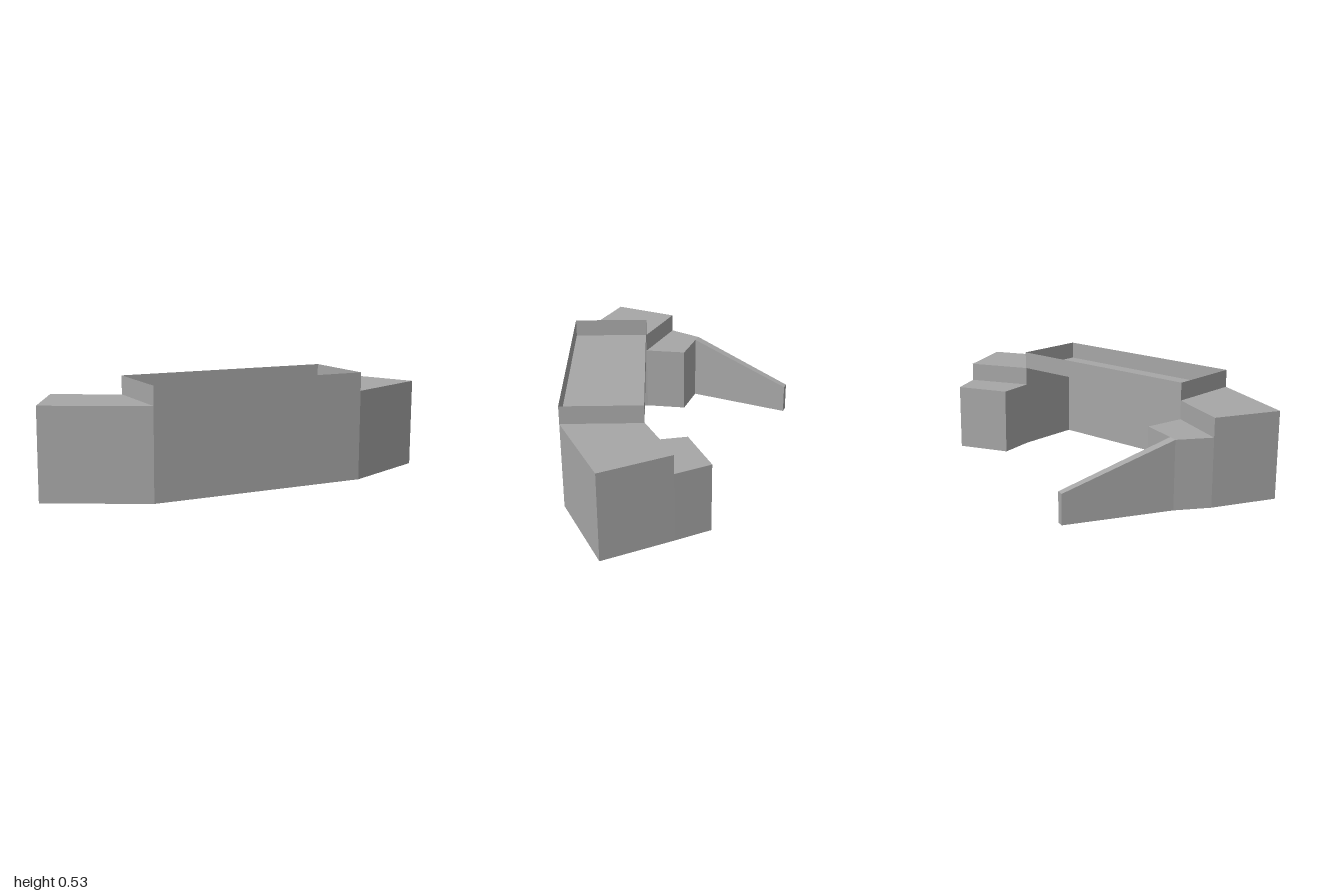
import * as THREE from 'three';

const HIGH = 0.44, LOW = 0.345, TOP = 0.53;

export function createModel() {
  const group = new THREE.Group();
  const grey = new THREE.MeshStandardMaterial({ color: 0xa6a6a6, side: THREE.DoubleSide });
  grey.name = 'concreteGrey';

  const add = (name, geometry) => {
    const mesh = new THREE.Mesh(geometry, grey);
    mesh.name = name;
    group.add(mesh);
    return mesh;
  };

  // Upright block over a floor plan of [x, z] corners
  const prism = (plan, height) => {
    const shape = new THREE.Shape(plan.map(([x, z]) => new THREE.Vector2(x, -z)));
    const geometry = new THREE.ExtrudeGeometry(shape, { depth: height, bevelEnabled: false });
    return geometry.rotateX(-Math.PI / 2);
  };

  // Thin upright sheet between two plan points
  const sheet = (name, [x0, z0], [x1, z1], y0, y1) => {
    const mesh = add(name, new THREE.PlaneGeometry(Math.hypot(x1 - x0, z1 - z0), y1 - y0));
    mesh.position.set((x0 + x1) / 2, (y0 + y1) / 2, (z0 + z1) / 2);
    mesh.rotation.y = -Math.atan2(z1 - z0, x1 - x0);
  };

  // Angled side blocks, each with a lower step behind
  add('leftBlock', prism([[0.545, 0.59], [1, 0.4], [0.85, 0.07], [0.54, 0.2]], HIGH));
  add('leftStep', prism([[0.54, 0.2], [0.85, 0.07], [0.77, -0.1], [0.505, 0]], LOW));
  add('rightBlock', prism([[-0.54, 0.59], [-0.54, 0.2], [-0.845, 0.05], [-1, 0.36]], HIGH));
  add('rightStep', prism([[-0.54, 0.2], [-0.505, -0.01], [-0.69, -0.08], [-0.735, -0.1], [-0.845, 0.05]], LOW));

  // Wing wall, its top sloping down towards the back
  const wing = prism([[-0.735, -0.1], [-0.69, -0.08], [-0.445, -0.575], [-0.48, -0.59]], LOW);
  const p = wing.attributes.position;
  for (let i = 0; i < p.count; i++) {
    if (p.getY(i) > 0.1 && p.getZ(i) < -0.3) p.setY(i, 0.15);
  }
  wing.computeVertexNormals();
  add('wingWall', wing);

  // Centre bay: front wall and roof, open at the back and below
  add('frontWall', prism([[-0.54, 0.59], [0.545, 0.59], [0.545, 0.555], [-0.54, 0.555]], HIGH));
  const roof = add('roof', new THREE.PlaneGeometry(1.085, 0.39).rotateX(-Math.PI / 2));
  roof.position.set(0.0025, HIGH, 0.395);

  // Parapet around the roof
  const rim = [[-0.54, 0.59], [0.545, 0.59], [0.545, 0.2], [-0.54, 0.2]];
  ['front', 'left', 'back', 'right'].forEach((side, i) =>
    sheet(side + 'Parapet', rim[i], rim[(i + 1) % 4], HIGH, TOP));

  return group;
}
